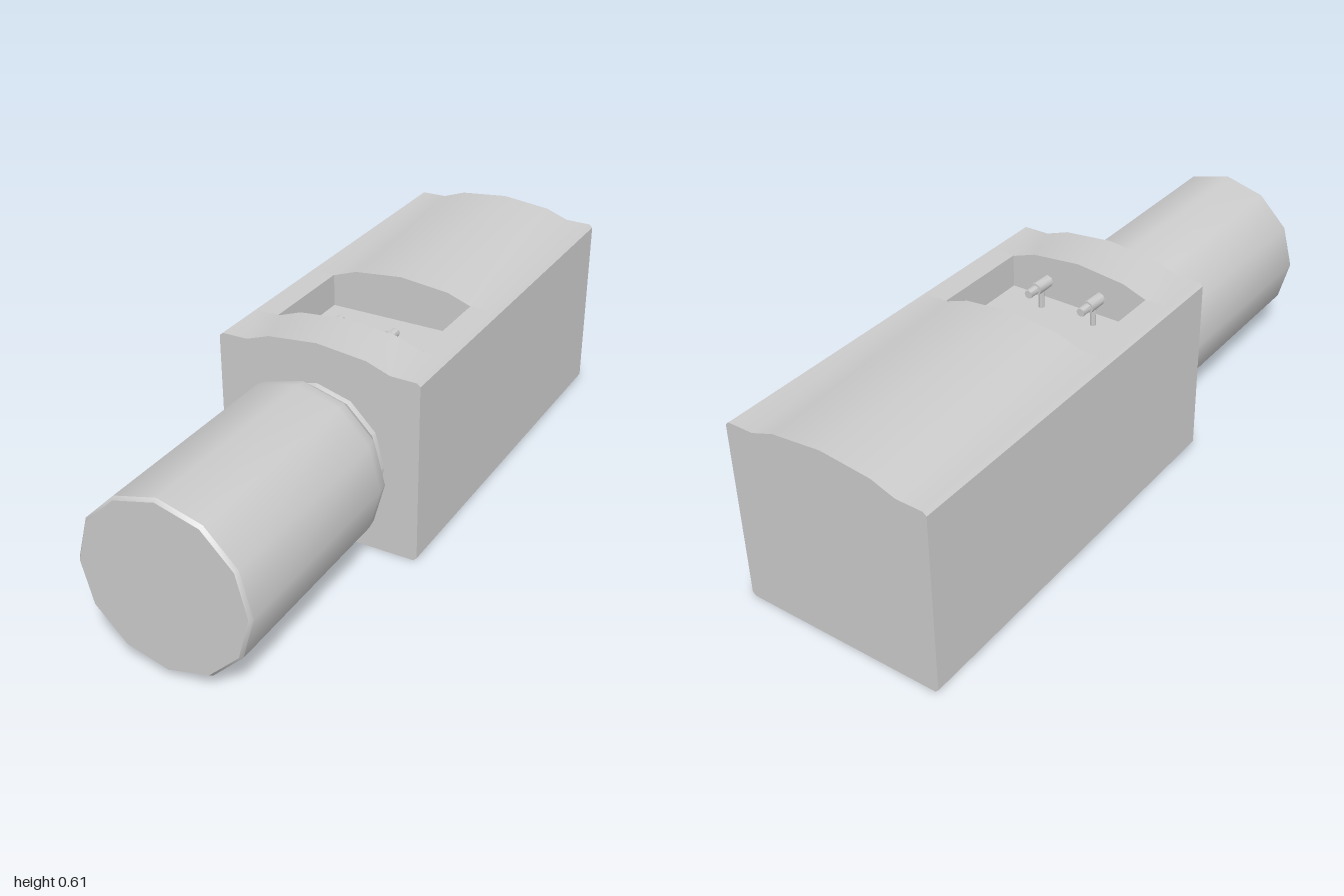
import * as THREE from 'three';
import { toCreasedNormals } from 'three/addons/utils/BufferGeometryUtils.js';

const material = new THREE.MeshStandardMaterial({ color: 0xcccccc });

function addPart(parent, name, geometry, crease = 0.62) {
  const mesh = new THREE.Mesh(toCreasedNormals(geometry, crease), material);
  mesh.name = name;
  parent.add(mesh);
  return mesh;
}

// Mirrored outline: lower half corners plus the given right-hand top points
function bodyShape(topHalf) {
  const right = [[0.307, 0], [0.317, 0.01], [0.317, 0.56], [0.307, 0.569], ...topHalf];
  const left = right.map(([x, y]) => [-x, y]).reverse();
  const points = [...right, ...left.filter(([x]) => x !== 0)];
  return new THREE.Shape(points.map(([x, y]) => new THREE.Vector2(x, y)));
}

function bodySection(parent, name, shape, z0, z1) {
  const geometry = new THREE.ExtrudeGeometry(shape, { depth: z1 - z0, bevelEnabled: false });
  geometry.translate(0, 0, z0);
  addPart(parent, name, geometry, 0.45);
}

export function createModel() {
  const model = new THREE.Group();

  // Housing with an arched top, notched in the middle for the recess
  const housing = new THREE.Group();
  housing.name = 'housing';
  model.add(housing);
  const arched = bodyShape([[0.226, 0.57], [0.154, 0.596], [0, 0.612]]);
  const notched = bodyShape([[0.23, 0.57], [0.23, 0.468]]);
  bodySection(housing, 'rearHousing', arched, -1, -0.237);
  bodySection(housing, 'recessHousing', notched, -0.237, 0.085);
  bodySection(housing, 'frontHousing', arched, 0.085, 0.257);

  // Twelve-sided barrel with a narrow neck and rounded shoulder
  const profile = [
    [0.212, 0.2], [0.212, 0.257], [0.203, 0.28], [0.215, 0.28], [0.237, 0.31],
    [0.253, 0.33], [0.258, 0.365], [0.258, 0.99], [0.25, 1], [0, 1],
  ].map(([r, z]) => new THREE.Vector2(r, z));
  const barrel = addPart(model, 'barrel', new THREE.LatheGeometry(profile, 12));
  barrel.rotation.x = Math.PI / 2;
  barrel.position.y = 0.277;

  // Pair of small nozzles on stems inside the recess
  for (const side of [-1, 1]) {
    const nozzle = new THREE.Group();
    nozzle.name = side > 0 ? 'leftNozzle' : 'rightNozzle';
    nozzle.position.set(side * 0.09, 0.54, 0);
    model.add(nozzle);

    const stem = addPart(nozzle, 'stem', new THREE.CylinderGeometry(0.009, 0.009, 0.075, 8), 0.9);
    stem.position.set(0, -0.037, 0.03);
    const head = addPart(nozzle, 'head', new THREE.CylinderGeometry(0.019, 0.019, 0.062, 8), 0.9);
    head.rotation.x = Math.PI / 2;
    head.position.z = 0.031;
    const tip = addPart(nozzle, 'tip', new THREE.CylinderGeometry(0.013, 0.013, 0.04, 8), 0.9);
    tip.rotation.x = Math.PI / 2;
    tip.position.z = -0.016;
  }
  return model;
}
